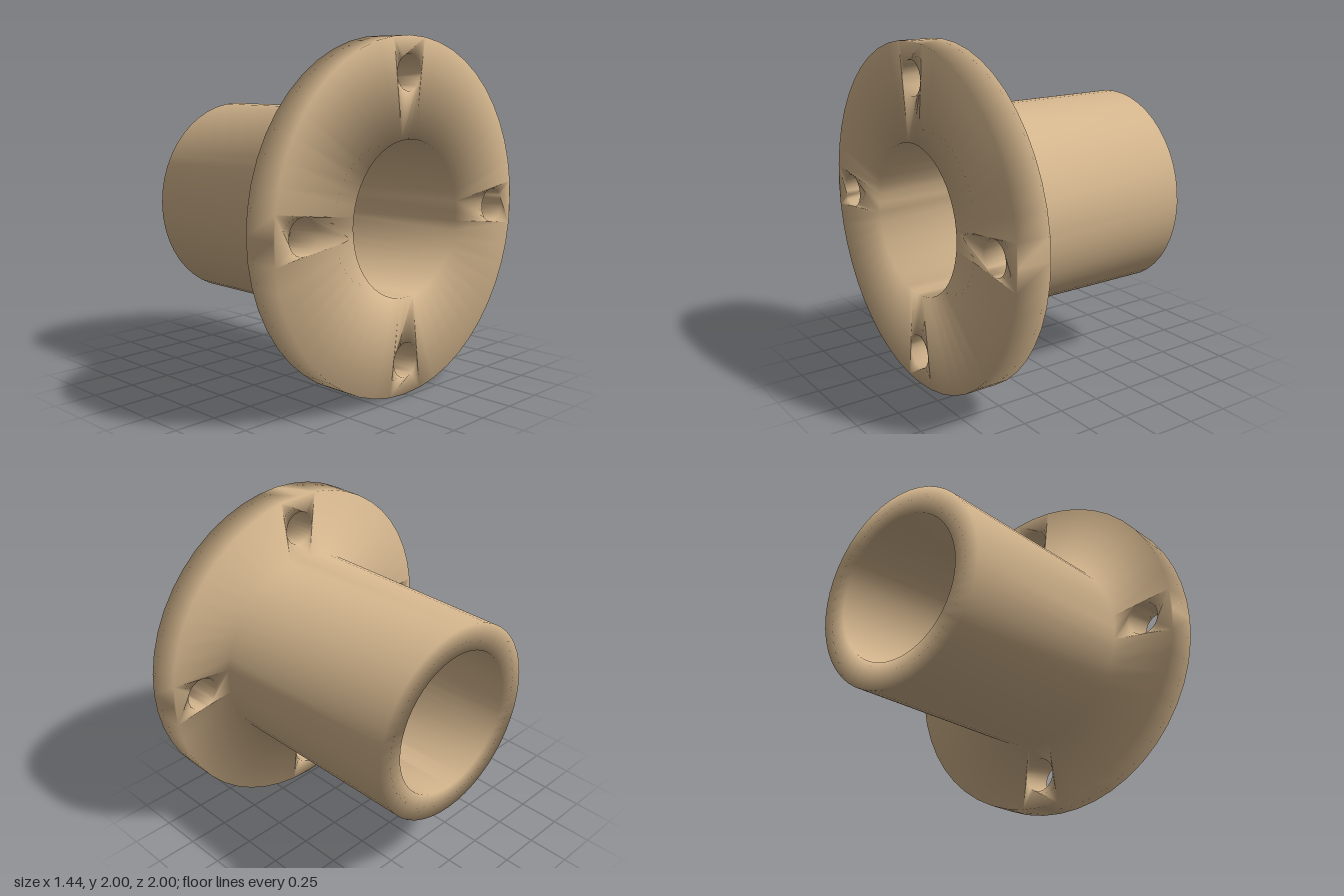
import * as THREE from 'three';
import { mergeGeometries, mergeVertices } from 'three/addons/utils/BufferGeometryUtils.js';

const SEG = 48, HOLE_SEG = 24, STEP = (Math.PI * 2) / SEG;
const BORE = 0.44, TUBE = 0.6, RIM = 1, HOLE = 0.1, BOLT = 0.8;
const END = -0.72, BACK = 0.52, FACE = 0.72;

const polar = (r, a) => new THREE.Vector2(r * Math.cos(a), r * Math.sin(a));

function soup(points) {
  const g = new THREE.BufferGeometry();
  g.setAttribute('position', new THREE.Float32BufferAttribute(points, 3));
  return g;
}

// Band of quads swept round the axis from (r0, z0) to (r1, z1)
function band(r0, z0, r1, z1, count = SEG, skip = () => false) {
  const out = [];
  for (let i = 0; i < count; i++) {
    if (skip(i)) continue;
    const t0 = (i / count) * Math.PI * 2, t1 = ((i + 1) / count) * Math.PI * 2;
    const at = (r, z, t) => [r * Math.cos(t), r * Math.sin(t), z];
    const a = at(r0, z0, t0), b = at(r0, z0, t1), c = at(r1, z1, t1), d = at(r1, z1, t0);
    out.push(...a, ...d, ...c, ...a, ...c, ...b);
  }
  return soup(out);
}

// Flat wedge of the flange with a bolt hole through it
function wedge(inner, z, flip) {
  const angles = [-STEP, 0, STEP];
  const shape = new THREE.Shape([
    ...angles.map((a) => polar(RIM, a)),
    ...angles.slice().reverse().map((a) => polar(inner, a)),
  ]);
  const hole = [];
  for (let j = 0; j < HOLE_SEG; j++) {
    hole.push(polar(HOLE, (j / HOLE_SEG) * Math.PI * 2).add(new THREE.Vector2(BOLT, 0)));
  }
  shape.holes.push(new THREE.Path(hole));
  const g = new THREE.ShapeGeometry(shape);
  const pos = g.attributes.position, order = Array.from(g.index.array);
  if (flip) order.reverse();
  return soup(order.flatMap((i) => [pos.getX(i), pos.getY(i), z]));
}

// Join the pieces into one skin with softly blended normals, axis along x
function skin(pieces) {
  const g = mergeVertices(mergeGeometries(pieces), 1e-4);
  g.computeVertexNormals();
  g.rotateY(Math.PI / 2);
  g.translate(0, 1, 0);
  return g;
}

export function createModel() {
  const model = new THREE.Group();
  model.name = 'flangedBushing';
  const tan = new THREE.MeshStandardMaterial({ color: 0xd2b48c });
  tan.name = 'tan';

  // The two steps on either side of each bolt hole belong to the wedges
  const nearHole = (i) => i % 12 === 0 || i % 12 === 11;
  const pieces = [
    band(BORE, FACE, RIM, FACE, SEG, nearHole), // flange face
    band(RIM, FACE, RIM, BACK), // flange rim
    band(RIM, BACK, TUBE, BACK, SEG, nearHole), // flange back
    band(TUBE, BACK, TUBE, END), // tube wall
    band(TUBE, END, BORE, END), // tube end
    band(BORE, END, BORE, FACE), // bore
  ];

  // Four bolt holes with their surrounding wedges
  for (let k = 0; k < 4; k++) {
    const parts = [
      wedge(BORE, FACE, false),
      wedge(TUBE, BACK, true),
      band(HOLE, BACK, HOLE, FACE, HOLE_SEG).translate(BOLT, 0, 0),
    ];
    pieces.push(...parts.map((g) => g.rotateZ((k * Math.PI) / 2)));
  }

  const bushing = new THREE.Mesh(skin(pieces), tan);
  bushing.name = 'tubeWithBoltFlange';
  model.add(bushing);
  return model;
}
